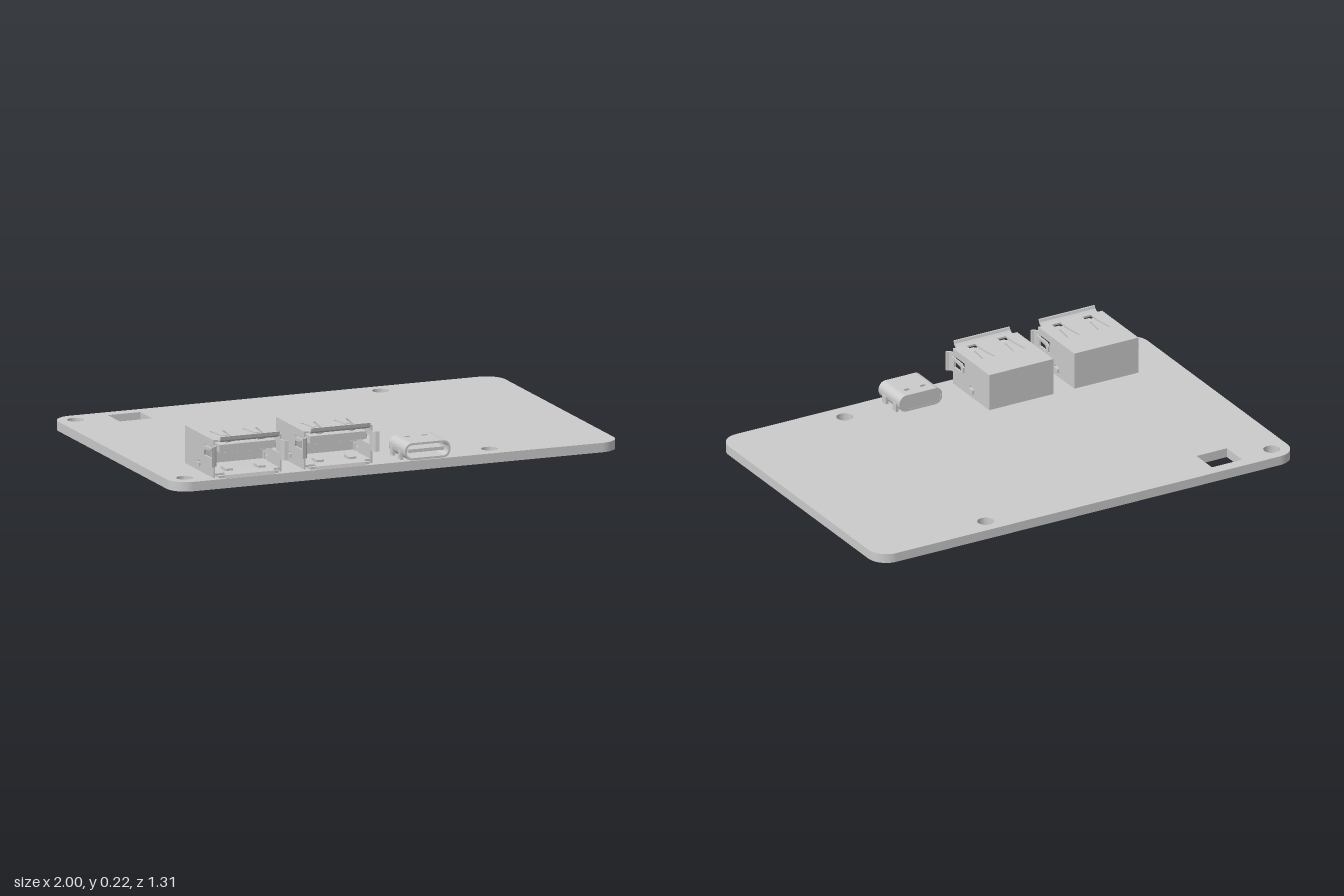
import * as THREE from 'three';

const material = new THREE.MeshStandardMaterial({ color: 0xcccccc, side: THREE.DoubleSide });

function add(parent, name, geometry) {
  const mesh = new THREE.Mesh(geometry, material);
  mesh.name = name;
  parent.add(mesh);
  return mesh;
}

// Box given by its minimum and maximum corners
function box(parent, name, x0, x1, y0, y1, z0, z1) {
  const g = new THREE.BoxGeometry(x1 - x0, y1 - y0, z1 - z0);
  g.translate((x0 + x1) / 2, (y0 + y1) / 2, (z0 + z1) / 2);
  return add(parent, name, g);
}

const poly = (pts, T = THREE.Shape) => new T(pts.map(p => new THREE.Vector2(p[0], p[1])));
const rect = (x0, x1, y0, y1, T) => poly([[x0, y0], [x1, y0], [x1, y1], [x0, y1]], T);

function extrude(shape, depth) {
  return new THREE.ExtrudeGeometry(shape, { depth, bevelEnabled: false, curveSegments: 10 });
}

// Plate drawn in x,z with its upper face at y = top
function flatPlate(shape, top, thickness) {
  return extrude(shape, thickness).rotateX(Math.PI / 2).translate(0, top, 0);
}

// Plate drawn in z,y with its larger-x face at x
function sidePlate(shape, x, thickness) {
  return extrude(shape, thickness).rotateY(-Math.PI / 2).translate(x, 0, 0);
}

function roundedRect(x0, x1, y0, y1, r, T = THREE.Shape) {
  const s = new T();
  s.absarc(x1 - r, y1 - r, r, 0, Math.PI / 2);
  s.absarc(x0 + r, y1 - r, r, Math.PI / 2, Math.PI);
  s.absarc(x0 + r, y0 + r, r, Math.PI, Math.PI * 1.5);
  s.absarc(x1 - r, y0 + r, r, Math.PI * 1.5, Math.PI * 2);
  s.closePath();
  return s;
}

function createBoard() {
  const shape = roundedRect(-1, 1, -0.657, 0.657, 0.085);
  for (const x of [-0.92, 0.445]) for (const z of [-0.58, 0.573]) {
    const hole = new THREE.Path();
    hole.absarc(x, z, 0.035, 0, Math.PI * 2);
    shape.holes.push(hole);
  }
  shape.holes.push(rect(-0.765, -0.62, -0.605, -0.48, THREE.Path));
  return flatPlate(shape, 0.04, 0.04);
}

// Curled lip, pointing outward by the given angle around z
function lip(parent, width, x, y, angle) {
  const profile = poly([[0.622, -0.008], [0.64, -0.007], [0.652, 0.002], [0.656, 0.018],
    [0.649, 0.018], [0.645, 0.007], [0.636, 0], [0.622, 0]]);
  const g = sidePlate(profile, width / 2, width).rotateZ(angle).translate(x, y, 0);
  add(parent, 'flaredLip', g);
}

function createLargePort(cx) {
  const port = new THREE.Group();
  port.name = 'largePort';
  port.position.x = cx;
  const hw = 0.153, t = 0.008, back = 0.328, front = 0.625, base = 0.05, top = 0.2;

  // Top wall with two tapered spring slots
  const roof = rect(-hw, hw, back, front);
  for (const s of [-0.073, 0.073]) {
    roof.holes.push(poly([[s - 0.034, 0.475], [s - 0.022, 0.475], [s - 0.012, 0.56], [s + 0.012, 0.56],
      [s + 0.022, 0.475], [s + 0.034, 0.475], [s + 0.021, 0.56], [s + 0.021, 0.615],
      [s - 0.021, 0.615], [s - 0.021, 0.56]], THREE.Path));
    // Spring finger dipping into the opening
    const finger = poly([[0.555, 0.2], [0.59, 0.184], [0.61, 0.19], [0.61, 0.184], [0.59, 0.177], [0.555, 0.192]]);
    add(port, 'topSpring', sidePlate(finger, s + 0.012, 0.024));
    box(port, 'bottomSpring', s - 0.015, s + 0.015, base + t, base + 0.02, 0.55, 0.61);
  }
  add(port, 'topWall', flatPlate(roof, top, t));
  add(port, 'bottomWall', flatPlate(rect(-hw, hw, back, front), base + t, t));
  box(port, 'backWall', -hw, hw, 0.04, top, back, back + t);

  // Side walls with a window, a bent side spring, a clip and feet
  for (const side of [-1, 1]) {
    const wall = rect(back, front, 0.04, top);
    wall.holes.push(rect(0.53, 0.615, 0.118, 0.168, THREE.Path));
    wall.holes.push(rect(0.458, 0.492, 0.052, 0.085, THREE.Path));
    add(port, 'sideWall', sidePlate(wall, side > 0 ? hw : t - hw, t));
    const spring = poly([[0.53, 0.125], [0.545, 0.125], [0.55, 0.147], [0.615, 0.155], [0.625, 0.165],
      [0.545, 0.163], [0.53, 0.15]]);
    add(port, 'sideSpring', sidePlate(spring, side * (hw + 0.004) + 0.004, t));
    const cx0 = side * hw;
    box(port, 'sideClip', cx0 - 0.006, cx0 + 0.006, 0.06, 0.077, 0.455, 0.49);
    const fx = side * 0.12;
    box(port, 'foot', fx - 0.013, fx + 0.013, 0.04, base, 0.6, 0.64);
    lip(port, 0.085, side * hw, 0.135, -side * Math.PI / 2);
  }
  lip(port, 0.265, 0, top, 0);
  lip(port, 0.22, 0, base + 0.006, Math.PI);

  // Insulating core, tongue and contacts
  box(port, 'innerCore', -hw + t, hw - t, base + t, top - t, back + t, 0.44);
  box(port, 'tongue', -0.125, 0.125, 0.145, 0.177, 0.44, 0.625);
  for (let i = 0; i < 4; i++) {
    const x = -0.08 + i * 0.0533;
    box(port, 'contact', x - 0.009, x + 0.009, 0.136, 0.145, 0.44, 0.61);
  }
  return port;
}

function createSmallPort(cx) {
  const port = new THREE.Group();
  port.name = 'smallPort';
  port.position.x = cx;
  const hw = 0.102, r = 0.033, t = 0.009, y0 = 0.042, y1 = 0.115, z0 = 0.485, z1 = 0.656;
  const flat = hw - r, low = y0 + r, high = y1 - r, H = Math.PI / 2;

  // Rounded shell, open along the flat of the roof
  const shell = new THREE.Shape();
  shell.moveTo(flat, y1);
  shell.absarc(flat, high, r, H, 0, true);
  shell.absarc(flat, low, r, 0, -H, true);
  shell.absarc(-flat, low, r, -H, -2 * H, true);
  shell.absarc(-flat, high, r, 2 * H, H, true);
  shell.absarc(-flat, high, r - t, H, 2 * H, false);
  shell.absarc(-flat, low, r - t, 2 * H, 3 * H, false);
  shell.absarc(flat, low, r - t, -H, 0, false);
  shell.absarc(flat, high, r - t, 0, H, false);
  shell.closePath();
  add(port, 'roundedShell', extrude(shell, z1 - z0).translate(0, 0, z0));

  // Roof with two latch slots
  const roof = rect(-flat, flat, z0, z1);
  for (const x of [-0.038, 0.038]) roof.holes.push(rect(x - 0.013, x + 0.013, 0.526, 0.542, THREE.Path));
  add(port, 'shellRoof', flatPlate(roof, y1, t));

  // Rear closure, tongue and side feet
  add(port, 'rearCore', extrude(roundedRect(-hw + 0.006, hw - 0.006, y0 + 0.004, y1 - 0.004, 0.028), 0.035)
    .translate(0, 0, z0 + 0.001));
  box(port, 'tongue', -0.08, 0.08, 0.071, 0.085, 0.515, 0.64);
  for (const side of [-1, 1]) for (const z of [0.52, 0.605]) {
    const x = side * (hw - 0.002);
    box(port, 'foot', x - 0.006, x + 0.006, 0.038, 0.076, z - 0.015, z + 0.015);
  }
  return port;
}

export function createModel() {
  const model = new THREE.Group();
  model.name = 'circuitBoard';
  add(model, 'board', createBoard());
  for (const x of [-0.661, -0.255]) model.add(createLargePort(x));
  model.add(createSmallPort(0.133));
  return model;
}
